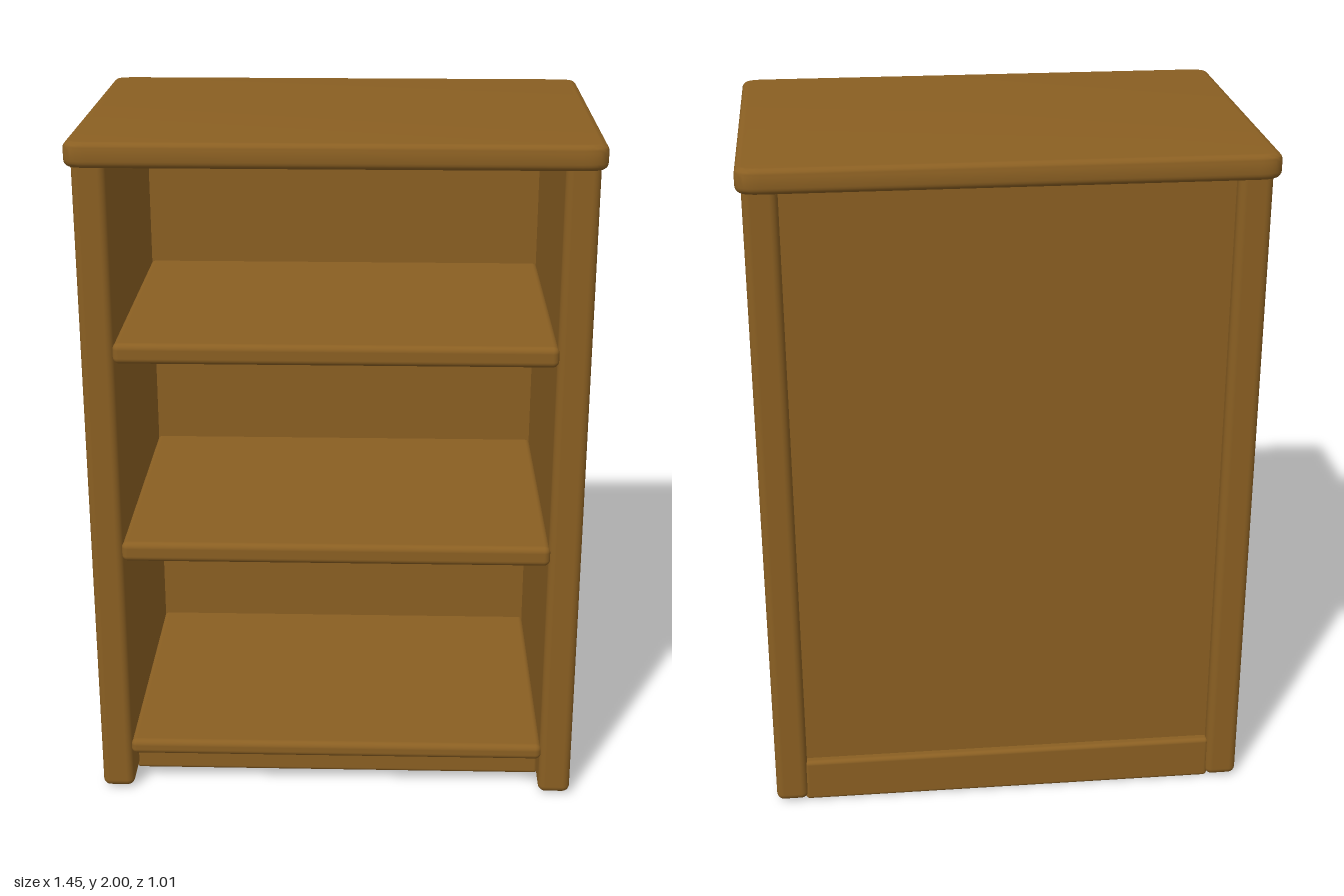
import * as THREE from 'three';
import { RoundedBoxGeometry } from 'three/addons/geometries/RoundedBoxGeometry.js';
import { toCreasedNormals } from 'three/addons/utils/BufferGeometryUtils.js';

const wood = new THREE.MeshStandardMaterial({ color: 0x8a5f22 });

// Soft-edged board given by its limits on each axis
function board(name, [x0, x1], [y0, y1], [z0, z1], radius) {
  const geometry = new RoundedBoxGeometry(x1 - x0, y1 - y0, z1 - z0, 4, radius);
  const mesh = new THREE.Mesh(geometry, wood);
  mesh.name = name;
  mesh.position.set((x0 + x1) / 2, (y0 + y1) / 2, (z0 + z1) / 2);
  return mesh;
}

// Top slab: rounded plan corners and a rolled edge
function topSlab(halfX, halfZ, y0, y1) {
  const bevel = 0.02, x = halfX - bevel, z = halfZ - bevel, rx = 0.05, rz = 0.022;
  const plan = new THREE.Shape();
  plan.moveTo(-x + rx, -z);
  plan.lineTo(x - rx, -z);
  plan.quadraticCurveTo(x, -z, x, -z + rz);
  plan.lineTo(x, z - rz);
  plan.quadraticCurveTo(x, z, x - rx, z);
  plan.lineTo(-x + rx, z);
  plan.quadraticCurveTo(-x, z, -x, z - rz);
  plan.lineTo(-x, -z + rz);
  plan.quadraticCurveTo(-x, -z, -x + rx, -z);
  const geometry = new THREE.ExtrudeGeometry(plan, {
    depth: y1 - y0 - 2 * bevel, bevelSize: bevel, bevelThickness: bevel,
    bevelSegments: 5, curveSegments: 8,
  });
  geometry.rotateX(-Math.PI / 2);
  geometry.translate(0, y0 + bevel, 0);
  const mesh = new THREE.Mesh(toCreasedNormals(geometry, 0.7), wood);
  mesh.name = 'top';
  return mesh;
}

export function createModel() {
  const group = new THREE.Group();
  group.name = 'bookcase';

  group.add(topSlab(0.725, 0.507, 1.93, 2));

  // Side panels
  group.add(board('leftSide', [0.615, 0.71], [0.006, 1.945], [-0.465, 0.465], 0.022));
  group.add(board('rightSide', [-0.71, -0.615], [0.006, 1.945], [-0.465, 0.465], 0.022));

  // Shelves, front edges level with the sides
  const shelves = [['bottomShelf', 0.12, 0.168, 0.465], ['middleShelf', 0.765, 0.825, 0.47], ['upperShelf', 1.37, 1.43, 0.47]];
  for (const [name, y0, y1, front] of shelves) {
    group.add(board(name, [-0.62, 0.62], [y0, y1], [-0.425, front], 0.018));
  }

  // Recessed back panel and the plinth below it
  group.add(board('backPanel', [-0.625, 0.625], [0.1, 1.945], [-0.43, -0.39], 0.004));
  group.add(board('plinth', [-0.622, 0.622], [0, 0.135], [-0.455, 0.345], 0.012));

  return group;
}
